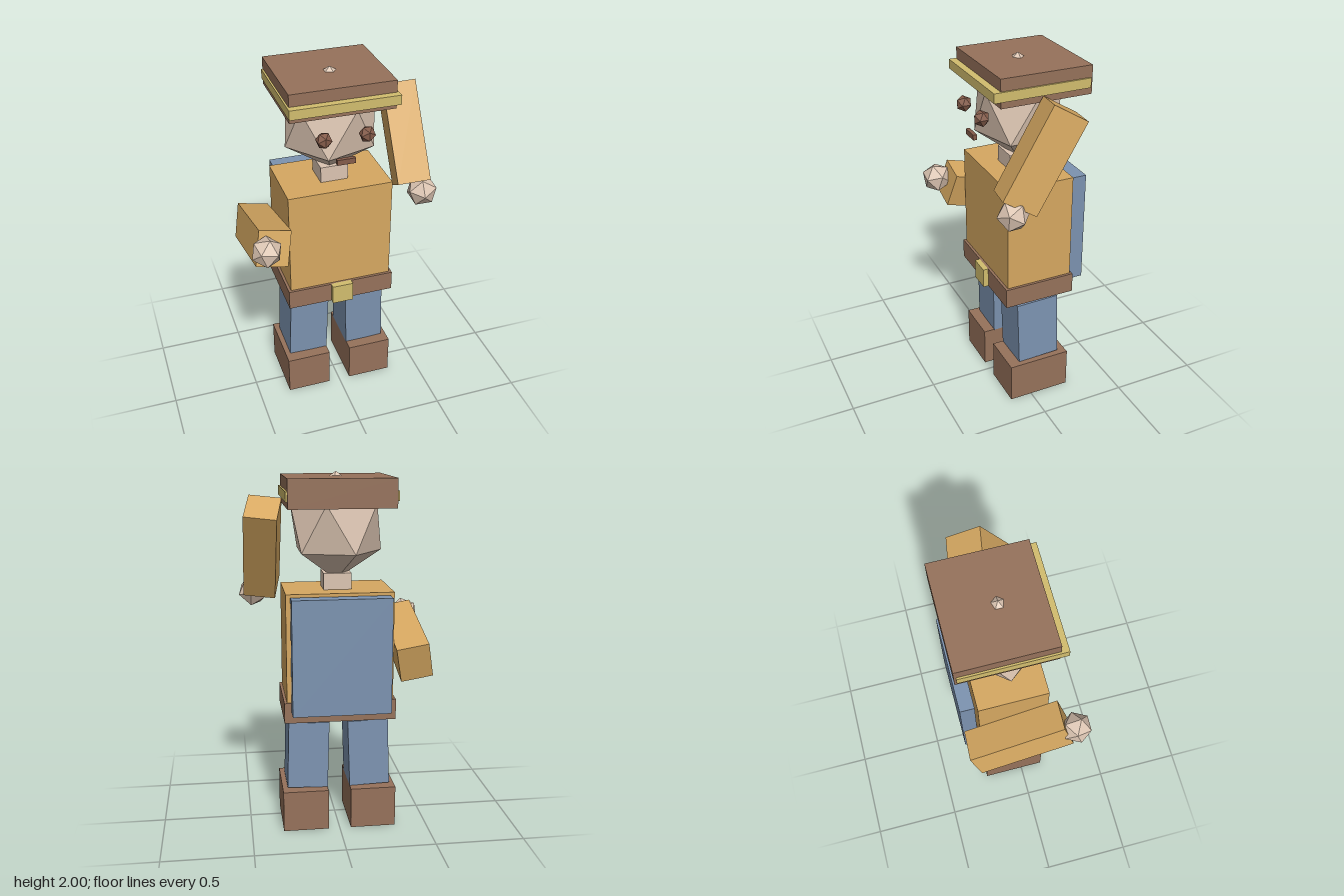
import * as THREE from 'three';

const mat = (name, color) => {
  const m = new THREE.MeshStandardMaterial({ color, flatShading: true });
  m.name = name;
  return m;
};

export function createModel() {
  const model = new THREE.Group();
  model.name = 'blockFigure';

  const skin = mat('skin', 0xdcc5b2);
  const cloth = mat('ochre cloth', 0xd6a861);
  const leather = mat('brown leather', 0x96725b);
  const denim = mat('blue denim', 0x7c93b0);
  const brass = mat('brass', 0xd2bd6e);
  const feature = mat('dark brown face', 0x855c4a);

  const add = (name, geo, material, x = 0, y = 0, z = 0, parent = model) => {
    const mesh = new THREE.Mesh(geo, material);
    mesh.name = name;
    mesh.position.set(x, y, z);
    parent.add(mesh);
    return mesh;
  };

  // Box given by its limits on each axis
  const block = (name, material, [x0, x1], [y0, y1], [z0, z1]) =>
    add(name, new THREE.BoxGeometry(x1 - x0, y1 - y0, z1 - z0), material,
      (x0 + x1) / 2, (y0 + y1) / 2, (z0 + z1) / 2);

  // Body
  block('torso', cloth, [-0.294, 0.294], [0.76, 1.37], [-0.245, 0.14]);
  block('belt', leather, [-0.309, 0.309], [0.655, 0.77], [-0.257, 0.155]);
  block('buckle', brass, [-0.06, 0.06], [0.655, 0.77], [0.15, 0.185]);
  block('backPanel', denim, [-0.27, 0.27], [0.715, 1.355], [-0.337, -0.257]);
  block('neck', skin, [-0.077, 0.077], [1.36, 1.46], [-0.13, 0.025]);

  // Head: icosahedron turned so that one corner points up
  const headGeo = new THREE.IcosahedronGeometry(1, 0);
  headGeo.rotateZ(-Math.atan(2 / (1 + Math.sqrt(5))));
  headGeo.scale(0.28, 0.293, 0.259);
  add('head', headGeo, skin, 0, 1.707, -0.055);
  block('mouth', feature, [-0.05, 0.05], [1.575, 1.605], [0.203, 0.225]);

  // Flat cap with a band
  block('cap', leather, [-0.284, 0.284], [1.823, 1.977], [-0.338, 0.173]);
  block('capBand', brass, [-0.294, 0.294], [1.86, 1.912], [-0.327, 0.213]);

  // Paired parts
  for (const side of [1, -1]) {
    const label = side > 0 ? 'left' : 'right';
    const leg = add(label + 'Leg', new THREE.BoxGeometry(0.229, 0.385, 0.25), denim,
      side * 0.172, 0.43, -0.055);
    leg.rotation.set(0.02, 0, side * 0.03);
    add(label + 'Boot', new THREE.BoxGeometry(0.256, 0.235, 0.365), leather,
      side * 0.192, 0.1175, -0.052);
    add(label + 'Eye', new THREE.IcosahedronGeometry(0.045, 0), feature,
      side * 0.116, 1.72, 0.205);
  }

  // Arms: sleeve with a faceted hand at its lower end
  const arm = (label, side, y, z, swing) => {
    const group = new THREE.Group();
    group.name = label + 'Arm';
    group.position.set(side * 0.4, y, z);
    group.rotation.set(swing, side * -0.19, 0);
    add(label + 'Sleeve', new THREE.BoxGeometry(0.178, 0.54, 0.202), cloth, 0, 0, 0, group);
    add(label + 'Hand', new THREE.IcosahedronGeometry(0.087, 0), skin, side * 0.05, -0.32, 0, group);
    model.add(group);
  };
  arm('left', 1, 1.586, 0.012, -0.535);
  arm('right', -1, 1.058, -0.05, -1.83);

  return model;
}
